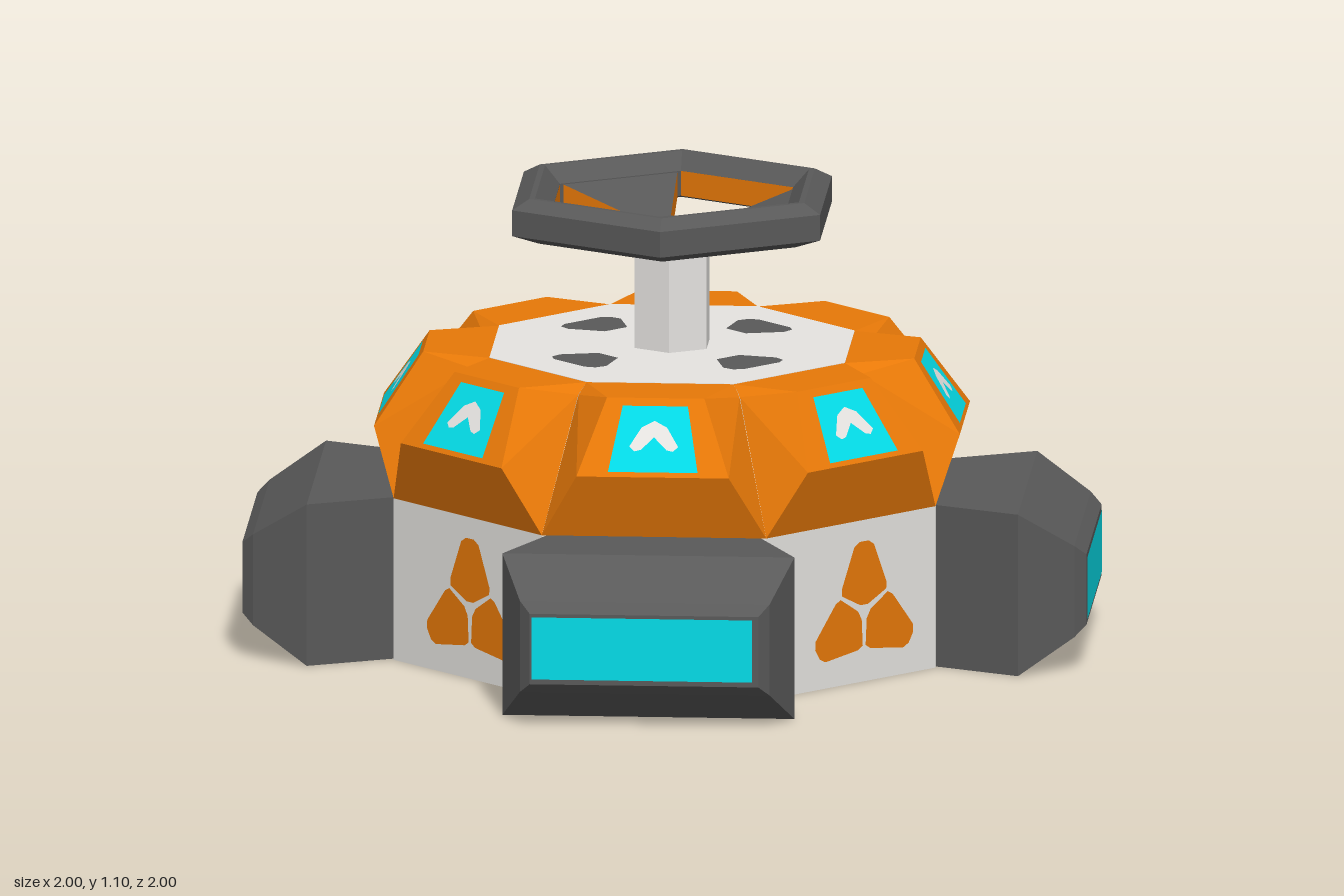
import * as THREE from 'three';

const mat = (name, color) => {
  const m = new THREE.MeshStandardMaterial({ color });
  m.name = name;
  return m;
};

// Faceted normals for low-poly parts
function flat(geometry) {
  const g = geometry.index ? geometry.toNonIndexed() : geometry;
  g.computeVertexNormals();
  return g;
}

// Geometry from polygons, each a counter-clockwise list of points
function facets(polys) {
  const pos = [];
  for (const p of polys)
    for (let i = 1; i < p.length - 1; i++) pos.push(...p[0], ...p[i], ...p[i + 1]);
  const g = new THREE.BufferGeometry();
  g.setAttribute('position', new THREE.Float32BufferAttribute(pos, 3));
  return flat(g);
}

// Painted detail: a flat face just above the surface it sits on
const decal = (pts, lift = 0.002) => new THREE.ShapeGeometry(
  new THREE.Shape(pts.map(([x, y]) => new THREE.Vector2(x, y)))).translate(0, 0, lift);

// Closed outline mirrored about the vertical axis from its right half
const mirrored = (half) => [...half, ...half.map(([x, y]) => [-x, y]).reverse()];

function ringSegmentGeometry() {
  const A = [0.265, 0.39, 0.64], B = [0.18, 0.545, 0.692], C = [0.115, 0.712, 0.58];
  const D = [0.174, 0.712, 0.42], V = [0.19, 0.69, 0.46];
  const m = ([x, y, z]) => [-x, y, z];
  const polys = [[m(A), A, B, m(B)], [m(B), B, C, m(C)], [m(C), C, D, m(D)]];
  for (const t of [[A, V, B], [V, C, B], [V, D, C]]) polys.push(t, t.map(m).reverse());
  return facets(polys);
}

function footGeometry() {
  // z, half width, bottom, top
  const rings = [
    [0.64, 0.253, 0, 0.39], [0.84, 0.345, 0, 0.39],
    [0.97, 0.295, 0.085, 0.305], [0.997, 0.27, 0.11, 0.28],
  ].map(([z, w, a, b]) => [[-w, a, z], [w, a, z], [w, b, z], [-w, b, z]]);
  const polys = [rings[3], [...rings[0]].reverse()];
  for (let k = 0; k < 3; k++)
    for (let i = 0; i < 4; i++) {
      const j = (i + 1) % 4;
      polys.push([rings[k][i], rings[k][j], rings[k + 1][j], rings[k + 1][i]]);
    }
  return facets(polys);
}

// Wheel centre: flat hub, three widening spokes rising to the rim, and the opening walls
function wheelCentre() {
  const turn = ([x, z], i) => {
    const a = (i * 2 * Math.PI) / 3;
    return [x * Math.cos(a) - z * Math.sin(a), x * Math.sin(a) + z * Math.cos(a)];
  };
  const inner = [-0.085, 0.06], outer = [-0.275, 0.168];
  const flip = ([x, z]) => [x, -z];
  const at = ([x, z], y) => [x, y, z];
  const hub = [], spokes = [], walls = [];
  for (let i = 0; i < 3; i++) {
    const [a, b, c, d] = [inner, outer, flip(outer), flip(inner)].map((p) => turn(p, i));
    const [nextC, nextD] = [flip(outer), flip(inner)].map((p) => turn(p, i + 2));
    hub.push(d, a);
    // Spoke between this opening and its neighbour
    spokes.push([at(a, 1), at(b, 1.06), at(nextC, 1.06), at(nextD, 1)]);
    spokes.push([at(nextD, 0.94), at(nextC, 1), at(b, 1), at(a, 0.94)]);
    const ring = [[a, 0.94], [b, 1], [c, 1], [d, 0.94]];
    ring.forEach(([p, y], j) => {
      const [q, v] = ring[(j + 1) % 4];
      walls.push([at(p, y), at(p, y + 0.06), at(q, v + 0.06), at(q, v)]);
    });
  }
  // Hub corners sorted around the axis
  hub.sort((p, q) => Math.atan2(q[1], q[0]) - Math.atan2(p[1], p[0]));
  spokes.push(hub.map((p) => at(p, 1)), hub.map((p) => at(p, 0.94)).reverse());
  return { spokes: facets(spokes), walls: facets(walls) };
}

export function createModel() {
  const white = mat('white', 0xe6e4e1);
  const orange = mat('orange', 0xea7a08);
  const dark = mat('darkGrey', 0x595959);
  const cyan = mat('cyan', 0x04e2ee);
  // The wheel's thin centre is seen from both sides
  const spokeDark = mat('spokeGrey', 0x595959);
  const wallOrange = mat('wallOrange', 0xea7a08);
  spokeDark.side = wallOrange.side = THREE.DoubleSide;

  const model = new THREE.Group();
  model.name = 'valveHatch';
  const add = (parent, name, geometry, material) => {
    const mesh = new THREE.Mesh(geometry, material);
    mesh.name = name;
    parent.add(mesh);
    return mesh;
  };
  const spun = (name, angle) => {
    const g = new THREE.Group();
    g.name = name;
    g.rotation.y = angle;
    model.add(g);
    return g;
  };

  // Octagonal body and deck
  const k = Math.cos(Math.PI / 8);
  const octagon = (apothem, y0, y1) => flat(
    new THREE.CylinderGeometry(apothem / k, apothem / k, y1 - y0, 8)
      .rotateY(Math.PI / 8).translate(0, (y0 + y1) / 2, 0));
  add(model, 'base', octagon(0.64, 0, 0.39), white);
  add(model, 'deck', octagon(0.42, 0.6, 0.713), white);

  // Orange ring: eight bevelled segments, each with a window and chevron
  const segment = ringSegmentGeometry();
  const windowFace = decal(mirrored([[0.106, 0.012], [0.077, 0.18]]));
  const chevronFace = decal([[0, 0.142], [0.03, 0.125], [0.058, 0.076], [0.045, 0.064],
    [0.03, 0.068], [0, 0.1], [-0.03, 0.068], [-0.045, 0.064], [-0.058, 0.076],
    [-0.03, 0.125]], 0.004);
  for (let i = 0; i < 8; i++) {
    const g = spun('ringSection', (i * Math.PI) / 4);
    add(g, 'ringSegment', segment, orange);
    const panel = new THREE.Group();
    panel.name = 'windowPanel';
    panel.position.set(0, 0.545, 0.692);
    panel.rotation.x = -Math.atan2(0.112, 0.167);
    add(panel, 'window', windowFace, cyan);
    add(panel, 'chevron', chevronFace, white);
    g.add(panel);
  }

  // Four feet with a lit front strip
  const foot = footGeometry();
  const strip = decal([[-0.265, 0.122], [0.255, 0.122], [0.255, 0.272], [-0.265, 0.272]]);
  for (let i = 0; i < 4; i++) {
    const g = spun('footSection', (i * Math.PI) / 2);
    add(g, 'foot', foot, dark);
    add(g, 'footLight', strip, cyan).position.z = 0.997;
  }

  // Diagonal sides: three-wedge emblem on the wall and a dark patch on the deck
  const wedge = decal(mirrored([[0.012, 0.016], [0.069, 0.045], [0.07, 0.062],
    [0.031, 0.158], [0.014, 0.169]]));
  const patch = decal(mirrored([[0.035, -0.2], [0.083, -0.278], [0.078, -0.308],
    [0.055, -0.322]])).rotateX(-Math.PI / 2);
  for (let i = 0; i < 4; i++) {
    const g = spun('diagonalSide', Math.PI / 4 + (i * Math.PI) / 2);
    for (let j = 0; j < 3; j++) {
      const w = add(g, 'emblemWedge', wedge, orange);
      w.position.set(i % 2 ? 0.01 : 0.04, 0.17, 0.64);
      w.rotation.z = (j * 2 * Math.PI) / 3;
    }
    add(g, 'deckPatch', patch, dark).position.y = 0.713;
  }

  // Stem and hexagonal hand wheel
  add(model, 'stem', flat(new THREE.CylinderGeometry(0.098, 0.098, 0.24, 6)
    .translate(0, 0.825, 0)), white);
  const profile = [[0.318, 1.0], [0.35, 0.99], [0.42, 1.015], [0.42, 1.077], [0.375, 1.1],
    [0.36, 1.1], [0.318, 1.06], [0.318, 1.0]].map(([r, y]) => new THREE.Vector2(r, y));
  add(model, 'wheelRim', flat(new THREE.LatheGeometry(profile, 6)), dark);
  const centre = wheelCentre();
  add(model, 'wheelSpokes', centre.spokes, spokeDark);
  add(model, 'wheelOpeningWalls', centre.walls, wallOrange);

  return model;
}
